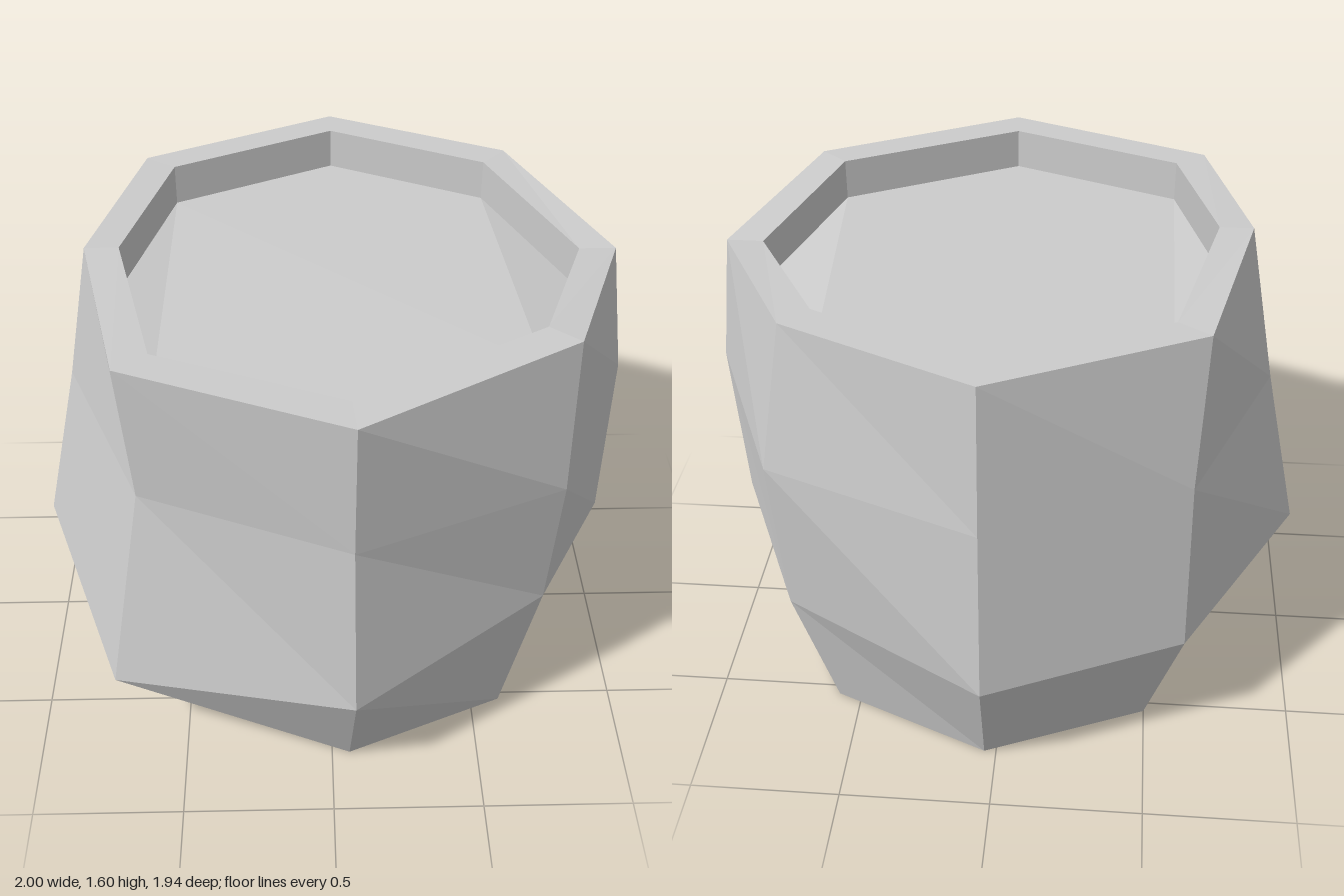
import * as THREE from 'three';

// Each ring has eight corners, from the left side (+x) round by the front (+z)
const base = [[0.82, 0, 0], [0.6, 0, 0.53], [0.06, 0, 0.76], [-0.48, 0, 0.53],
  [-0.7, 0, 0], [-0.5, 0, -0.54], [0.04, 0, -0.77], [0.58, 0, -0.54]];
const belly = [[0.98, 0.49, 0.03], [0.7, 0.58, 0.6], [0.07, 0.44, 0.96], [-0.72, 0.35, 0.73],
  [-1, 0.49, 0], [-0.61, 0.48, -0.7], [0.03, 0.46, -0.97], [0.7, 0.49, -0.61]];
const waist = [[1, 1.08, -0.01], [0.72, 1.08, 0.65], [0.06, 1.08, 0.93], [-0.6, 1.08, 0.65],
  [-0.87, 1.08, -0.01], [-0.6, 1.08, -0.67], [0.03, 1.08, -0.95], [0.72, 1.08, -0.67]];
const lip = [[0.94, 1.53, -0.03], [0.73, 1.58, 0.58], [0.06, 1.57, 0.97], [-0.63, 1.57, 0.68],
  [-0.77, 1.6, 0.05], [-0.62, 1.58, -0.6], [0.03, 1.58, -0.92], [0.64, 1.58, -0.63]];
const innerXZ = [[0.82, -0.03], [0.64, 0.5], [0.05, 0.84], [-0.53, 0.6],
  [-0.66, 0.05], [-0.52, -0.53], [0.03, -0.8], [0.56, -0.54]];
const innerLip = innerXZ.map(([x, z], i) => [x, lip[i][1], z]);
const floorRing = innerLip.map(([x, y, z]) => [x, y - 0.14, z]);

// Flat-sided band between successive rings
function band(...rings) {
  const out = [];
  for (let r = 0; r < rings.length - 1; r++) {
    const lo = rings[r], hi = rings[r + 1];
    for (let i = 0; i < 8; i++) {
      const j = (i + 1) % 8;
      out.push(lo[i], hi[i], hi[j], lo[i], hi[j], lo[j]);
    }
  }
  return out;
}

// Octagon cap: two side triangles and a middle hexagon
function cap(ring, up) {
  const tris = [[3, 4, 5], [7, 0, 1], [1, 2, 3], [1, 3, 5], [1, 5, 7], [5, 6, 7]];
  return tris.flatMap(([a, b, c]) => (up ? [a, c, b] : [a, b, c]).map((k) => ring[k]));
}

export function createModel() {
  const group = new THREE.Group();
  group.name = 'barrel';
  const grey = new THREE.MeshStandardMaterial({ color: 0xcccccc });
  grey.name = 'grey';
  grey.flatShading = true;

  const add = (name, points) => {
    const geometry = new THREE.BufferGeometry();
    geometry.setAttribute('position', new THREE.Float32BufferAttribute(points.flat(), 3));
    geometry.computeVertexNormals();
    const mesh = new THREE.Mesh(geometry, grey);
    mesh.name = name;
    group.add(mesh);
  };

  add('sides', band(base, belly, waist, lip));
  add('rim', band(lip, innerLip));
  add('recessWall', band(innerLip, floorRing));
  add('recessFloor', cap(floorRing, true));
  add('underside', cap(base, false));
  return group;
}
